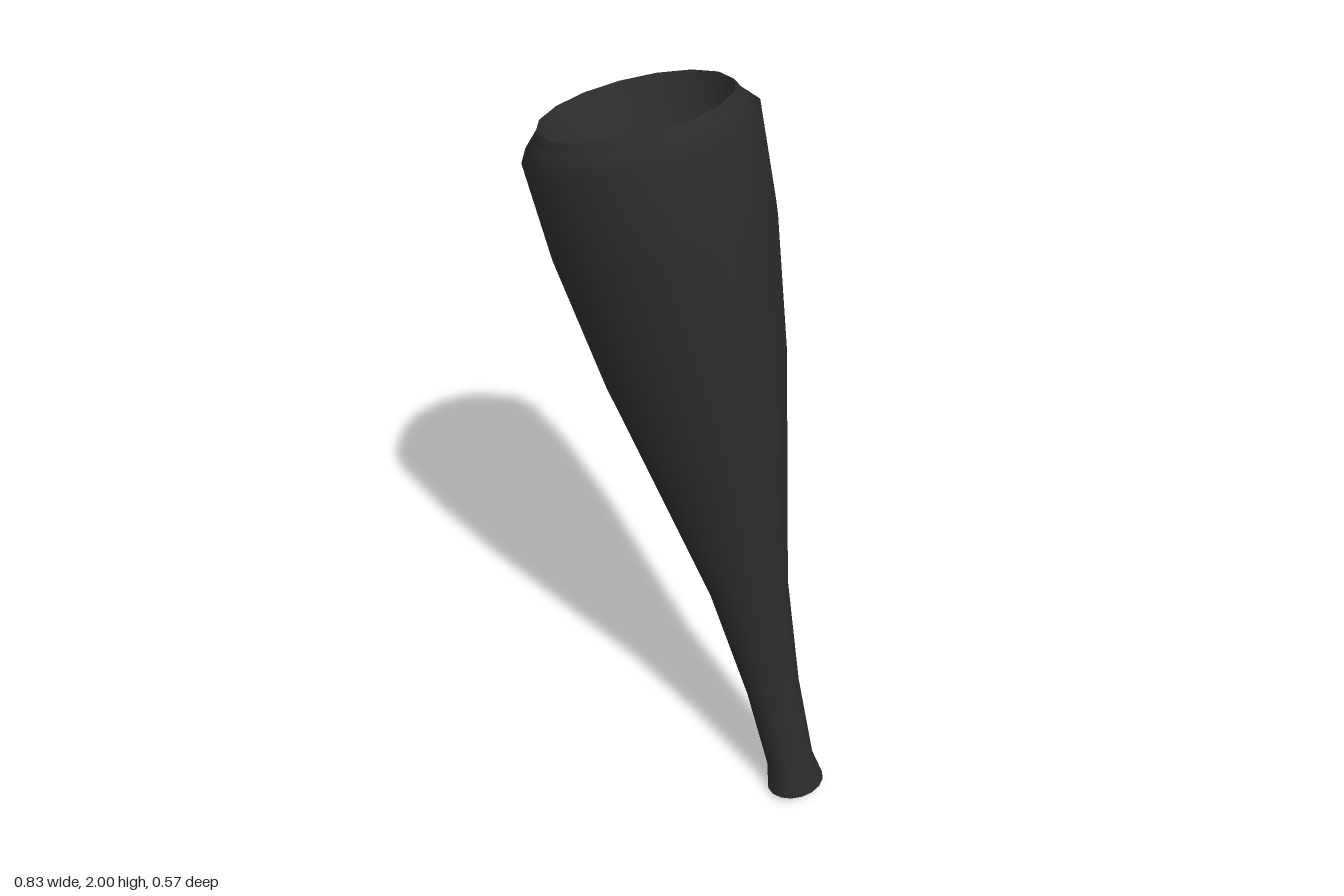
import * as THREE from 'three';

export function createModel() {
  const model = new THREE.Group();
  const material = new THREE.MeshStandardMaterial({ color: 0x2b2b2b });

  // Every part is turned around the bat's own axis: [radius, distance along the axis]
  const turn = (name, profile) => {
    const points = profile.map(([r, t]) => new THREE.Vector2(r, t));
    const mesh = new THREE.Mesh(new THREE.LatheGeometry(points, 16), material);
    mesh.name = name;
    bat.add(mesh);
  };

  // The whole bat leans toward -x
  const bat = new THREE.Group();
  bat.name = 'bat';
  bat.position.set(0.338, 0.02, 0);
  bat.rotation.z = 0.253;
  model.add(bat);

  // Flat end of the handle
  turn('handleEnd', [[0, 0], [0.079, 0]]);

  // Handle swelling into the barrel, with a bevelled shoulder
  turn('body', [
    [0.079, 0], [0.065, 0.08], [0.073, 0.33], [0.105, 0.665], [0.167, 1.0],
    [0.229, 1.33], [0.274, 1.68], [0.284, 1.925], [0.246, 1.965],
  ]);

  // Thin lip around the opening
  turn('lip', [[0.246, 1.965], [0.234, 1.986]]);

  // Hollow in the barrel end
  turn('cup', [
    [0.234, 1.986], [0.21, 1.945], [0.165, 1.9], [0.09, 1.865], [0, 1.855],
  ]);

  return model;
}
